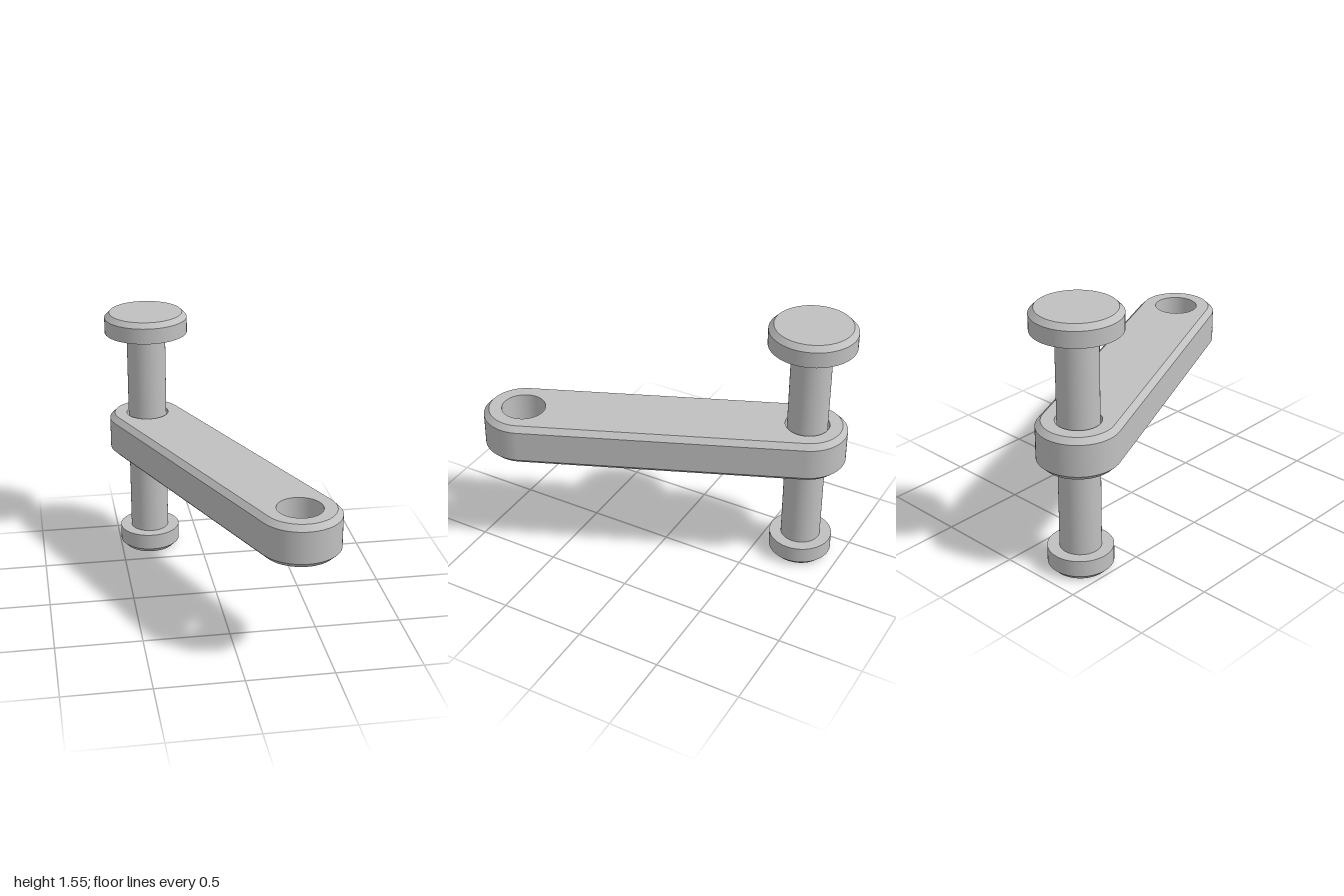
import * as THREE from 'three';
import { mergeGeometries } from 'three/addons/utils/BufferGeometryUtils.js';

const steel = new THREE.MeshStandardMaterial({ color: 0xc0c0c0 });
steel.name = 'steel grey';

// Turned part: each profile segment is its own smooth band, so corners stay sharp
function turned(points, segments = 64) {
  const bands = [];
  for (let i = 0; i < points.length - 1; i++) {
    const pair = [points[i], points[i + 1]].map(p => new THREE.Vector2(p[0], p[1]));
    bands.push(new THREE.LatheGeometry(pair, segments));
  }
  return mergeGeometries(bands);
}

function part(name, geometry, parent) {
  const mesh = new THREE.Mesh(geometry, steel);
  mesh.name = name;
  parent.add(mesh);
  return mesh;
}

// Band around a round-ended bar, from radius r0 at y0 up to radius r1 at y1
function barBand(half, r0, y0, r1, y1) {
  const pos = [], nor = [], idx = [], n = 32;
  const out = y1 - y0, up = r0 - r1, len = Math.hypot(out, up);
  for (const [cx, start] of [[half, -Math.PI / 2], [-half, Math.PI / 2]]) {
    for (let i = 0; i <= n; i++) {
      const a = start + Math.PI * i / n, c = Math.cos(a), s = Math.sin(a);
      pos.push(cx + c * r0, y0, s * r0, cx + c * r1, y1, s * r1);
      for (let k = 0; k < 2; k++) nor.push(c * out / len, up / len, s * out / len);
    }
  }
  const count = 2 * (n + 1);
  for (let i = 0; i < count; i++) {
    const p = 2 * i, q = 2 * ((i + 1) % count);
    idx.push(p, p + 1, q, q, p + 1, q + 1);
  }
  const g = new THREE.BufferGeometry();
  g.setAttribute('position', new THREE.Float32BufferAttribute(pos, 3));
  g.setAttribute('normal', new THREE.Float32BufferAttribute(nor, 3));
  g.setIndex(idx);
  return g;
}

export function createModel() {
  const model = new THREE.Group();
  model.name = 'linkAndPin';

  const pinX = -0.314, pinZ = -0.75, eyeX = 0.33, eyeZ = 0.766;
  const dx = eyeX - pinX, dz = eyeZ - pinZ, half = Math.hypot(dx, dz) / 2;

  // Link arm with chamfered edges and a through hole at each end
  const arm = new THREE.Group();
  arm.name = 'linkArm';
  arm.position.set((pinX + eyeX) / 2, 0, (pinZ + eyeZ) / 2);
  arm.rotation.y = Math.atan2(-dz, dx);
  model.add(arm);

  const R = 0.233, ch = 0.031, y0 = 0.65, y1 = 0.9, holeR = 0.128;
  part('armSides', mergeGeometries([
    barBand(half, R - ch, y0, R, y0 + ch),
    barBand(half, R, y0 + ch, R, y1 - ch),
    barBand(half, R, y1 - ch, R - ch, y1),
  ]), arm);

  const face = new THREE.Shape();
  face.absarc(half, 0, R - ch, -Math.PI / 2, Math.PI / 2, false);
  face.absarc(-half, 0, R - ch, Math.PI / 2, Math.PI * 1.5, false);
  for (const x of [half, -half]) {
    face.holes.push(new THREE.Path().absarc(x, 0, holeR, 0, Math.PI * 2, true));
    part('armHole', turned([[holeR, y1], [holeR, y0]]), arm).position.x = x;
  }
  part('armTop', new THREE.ShapeGeometry(face, 32).rotateX(-Math.PI / 2).translate(0, y1, 0), arm);
  part('armBottom', new THREE.ShapeGeometry(face, 32).rotateX(Math.PI / 2).translate(0, y0, 0), arm);

  // Pin with a wide head and a retaining collar
  const pin = new THREE.Group();
  pin.name = 'pin';
  pin.position.set(pinX, 0, pinZ);
  model.add(pin);

  part('shaft', turned([[0.117, 0.128], [0.117, 1.424]]), pin);
  part('head', turned([[0.117, 1.424], [0.25, 1.424], [0.25, 1.518], [0.221, 1.548], [0, 1.548]]), pin);
  part('collar', turned([[0.065, 0.015], [0.065, 0], [0.155, 0], [0.185, 0.031], [0.185, 0.128], [0.117, 0.128]]), pin);

  // Recessed screw with a hexagonal socket under the collar
  const screw = new THREE.Shape().absarc(0, 0, 0.065, 0, Math.PI * 2, false);
  const hex = [];
  for (let i = 0; i < 6; i++) {
    const a = i * Math.PI / 3;
    hex.push(new THREE.Vector2(Math.sin(a) * 0.034, Math.cos(a) * 0.034));
  }
  screw.holes.push(new THREE.Path(hex));
  part('screwFace', new THREE.ShapeGeometry(screw, 32).rotateX(Math.PI / 2).translate(0, 0.015, 0), pin);
  const socket = turned([[0, 0.06], [0.034, 0.06], [0.034, 0.015]], 6).toNonIndexed();
  socket.computeVertexNormals();
  part('screwSocket', socket, pin);

  return model;
}
